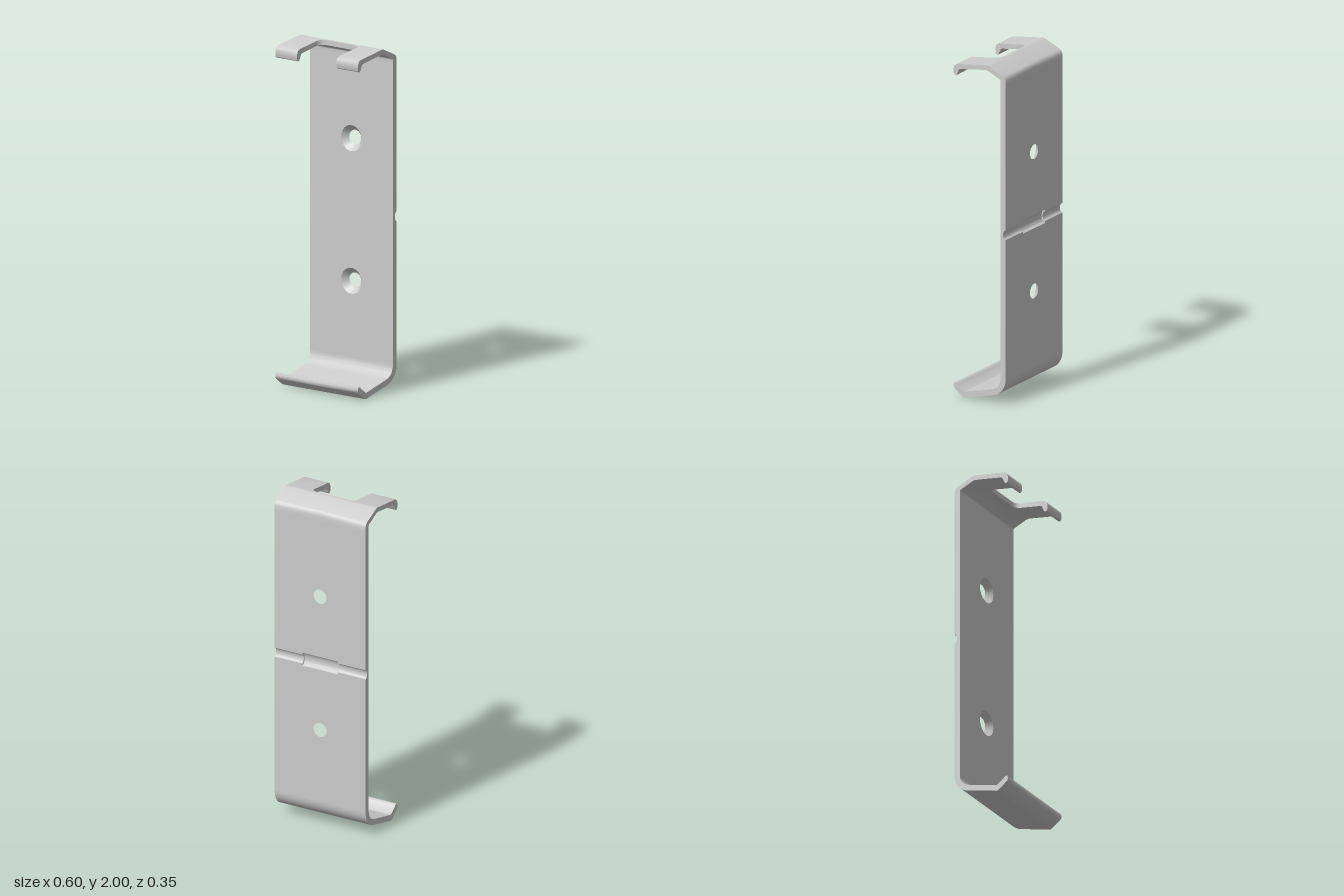
import * as THREE from 'three';
import { toCreasedNormals } from 'three/addons/utils/BufferGeometryUtils.js';

const HALF = 0.3, BACK = -0.174, FRONT = -0.14;
const material = new THREE.MeshStandardMaterial({ color: 0xcccccc, side: THREE.DoubleSide });

// Strip of sheet metal, mirrored in x. Stations: [outerZ, outerY, innerZ, innerY, innerEdgeX = 0]
function strip(stations, { x1 = HALF, skins = true, capStart = false, capEnd = false } = {}) {
  const pos = [];
  const quad = (a, b, c, d) => {
    for (const p of [a, b, c, a, c, d]) pos.push(...p);
    for (const p of [a, c, b, a, d, c]) pos.push(-p[0], p[1], p[2]);
  };
  const O = (s, x) => [x, s[1], s[0]];
  const I = (s, x) => [x, s[3], s[2]];
  const edge = (s) => s[4] ?? 0;
  for (let i = 0; i < stations.length - 1; i++) {
    const s = stations[i], t = stations[i + 1], a = edge(s), b = edge(t);
    if (skins) {
      quad(O(s, a), O(s, x1), O(t, x1), O(t, b));
      quad(I(s, a), I(t, b), I(t, x1), I(s, x1));
    }
    quad(O(s, x1), I(s, x1), I(t, x1), O(t, x1));
    if (Math.max(a, b) > 0) quad(O(s, a), O(t, b), I(t, b), I(s, a));
  }
  const s = stations[0], e = stations[stations.length - 1];
  if (capStart) quad(O(s, edge(s)), I(s, edge(s)), I(s, x1), O(s, x1));
  if (capEnd) quad(O(e, edge(e)), O(e, x1), I(e, x1), I(e, edge(e)));
  const g = new THREE.BufferGeometry();
  g.setAttribute('position', new THREE.Float32BufferAttribute(pos, 3));
  return toCreasedNormals(g, 0.6);
}

export function createModel() {
  const group = new THREE.Group();
  const add = (name, geometry, parent = group) => {
    const m = new THREE.Mesh(geometry, material);
    m.name = name;
    parent.add(m);
    return m;
  };

  // Upper clip: two hooked fingers either side of a round-cornered notch
  const w = 0.142, r = 0.035;
  const top = [
    [0.164, 1.906, 0.158, 1.906, w], [0.171, 1.911, 0.151, 1.914, w],
    [0.174, 1.92, 0.146, 1.925, w], [0.174, 1.945, 0.141, 1.936, w],
    [0.17, 1.96, 0.138, 1.942, w], [0.16, 1.97, 0.133, 1.946, w],
    [0.145, 1.975, 0.125, 1.948, w],
  ];
  for (let i = 0; i <= 8; i++) {
    const a = (i / 8) * Math.PI / 2, z = -r * Math.sin(a);
    const y = 1.994 - 0.13 * z;
    top.push([z, y, z, y - 0.028, w - r + r * Math.cos(a)]);
  }
  top.push(
    [-0.035, 1.9986, -0.035, 1.9706], [-0.045, 2, -0.043, 1.971], [-0.053, 1.999, -0.048, 1.9705],
    [-0.062, 1.996, -0.054, 1.969], [-0.155, 1.953, -0.134, 1.933], [-0.163, 1.948, -0.137, 1.931],
    [-0.17, 1.939, -0.139, 1.928], [BACK, 1.925, FRONT, 1.922], [BACK, 1.9, FRONT, 1.9],
  );
  add('upperClip', strip(top, { capStart: true }));

  // Lower cradle: rounded bend, sloping floor and raised front lip
  const bottom = [];
  for (let i = 0; i <= 12; i++) {
    const a = Math.PI + (i / 12) * THREE.MathUtils.degToRad(77);
    const c = Math.cos(a), s = Math.sin(a);
    bottom.push([-0.064 + 0.11 * c, 0.155 + 0.11 * s, -0.064 + 0.076 * c, 0.155 + 0.076 * s]);
  }
  bottom.push(
    [0.092, 0.003, 0.097, 0.038], [0.102, 0, 0.101, 0.037], [0.112, 0.004, 0.106, 0.039],
    [0.166, 0.044, 0.142, 0.065], [0.172, 0.051, 0.149, 0.072], [0.174, 0.061, 0.154, 0.077],
    [0.174, 0.07, 0.16, 0.08], [0.17, 0.079, 0.166, 0.081],
  );
  add('lowerCradle', strip(bottom, { capEnd: true }));

  // Flat back panels, each with a countersunk screw hole
  const panel = (name, y0, y1, holeY) => {
    const part = new THREE.Group();
    part.name = name;
    group.add(part);
    const face = (radius) => {
      const shape = new THREE.Shape();
      shape.moveTo(-HALF, y0).lineTo(HALF, y0).lineTo(HALF, y1).lineTo(-HALF, y1).closePath();
      shape.holes.push(new THREE.Path().absarc(0, holeY, radius, 0, Math.PI * 2, true));
      return new THREE.ShapeGeometry(shape, 32);
    };
    add('panelFront', face(0.075), part).position.z = FRONT;
    add('panelBack', face(0.043).rotateY(Math.PI), part).position.z = BACK;
    add('panelEdges', strip([[BACK, y1, FRONT, y1], [BACK, y0, FRONT, y0]], { skins: false }), part);
    const cone = new THREE.CylinderGeometry(0.075, 0.043, FRONT - BACK, 64, 1, true).rotateX(Math.PI / 2);
    add('countersink', cone, part).position.set(0, holeY, (FRONT + BACK) / 2);
  };
  panel('upperPanel', 1.06, 1.9, 1.427);
  panel('lowerPanel', 0.155, 0.964, 0.6);

  // Groove across the back, taller and deeper in the middle
  const groove = (name, half, depth, x0, x1) => {
    const stations = [[BACK, 1.06, FRONT, 1.06, x0]];
    for (let i = 0; i <= 16; i++) {
      const a = (i / 16) * Math.PI, y = 1.012 + half * Math.cos(a);
      stations.push([BACK + depth * Math.sin(a), y, FRONT, y, x0]);
    }
    stations.push([BACK, 0.964, FRONT, 0.964, x0]);
    add(name, strip(stations, { x1 }));
  };
  groove('sideGrooves', 0.028, 0.017, 0.117, HALF);
  groove('middleGroove', 0.04, 0.024, 0, 0.117);
  return group;
}
